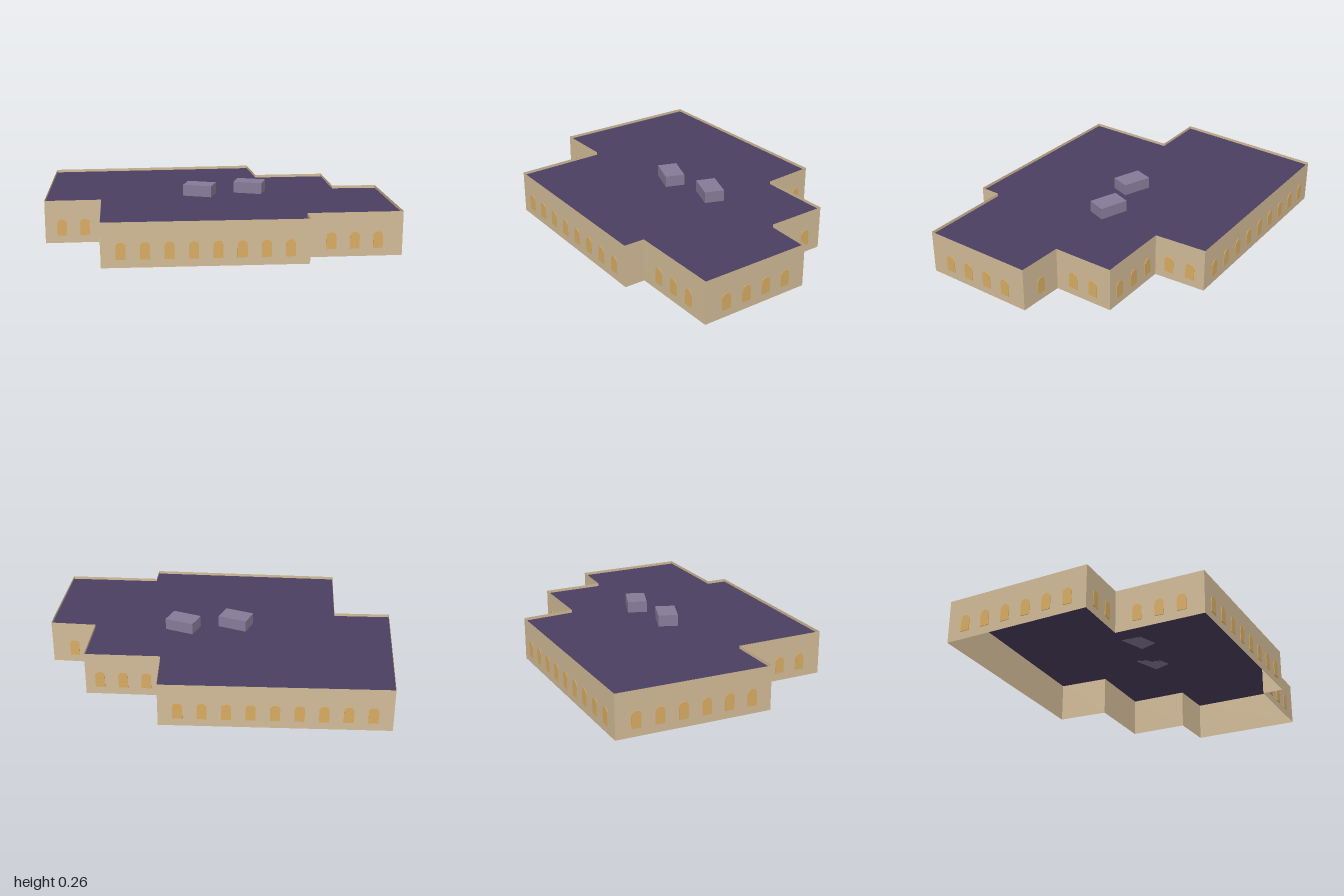
import * as THREE from 'three';

const WALL_H = 0.22, ROOF_Y = 0.205;

// Footprint corners [x, z], clockwise seen from above
const FOOTPRINT = [
  [-1, -0.335], [0.025, -0.73], [0.13, -0.485], [0.48, -0.613], [0.585, -0.322], [0.805, -0.392],
  [0.997, 0.147], [0.555, 0.305], [0.59, 0.405], [-0.34, 0.725], [-0.495, 0.295], [-0.76, 0.395],
];

function material(name, color, extra = {}) {
  return new THREE.MeshStandardMaterial({ name, color, ...extra });
}

// Thin round-arched window plate standing on its sill
function windowGeometry() {
  const r = 0.0235, spring = 0.1, sill = 0.04;
  const s = new THREE.Shape();
  s.moveTo(-r, sill);
  s.lineTo(r, sill);
  s.lineTo(r, spring);
  s.absarc(0, spring, r, 0, Math.PI, false);
  s.closePath();
  return new THREE.ExtrudeGeometry(s, { depth: 0.003, bevelEnabled: false, curveSegments: 5 });
}

export function createModel() {
  const model = new THREE.Group();
  model.name = 'building';
  const wallMat = material('sandstone', 0xd2bb97, { side: THREE.DoubleSide });
  const roofMat = material('darkPurpleRoof', 0x4a3f60, { side: THREE.DoubleSide });
  const glassMat = material('amberWindow', 0xd8ac62);
  const ventMat = material('greyPurpleVent', 0x857b98);

  // Walls, each with a centred row of evenly spaced windows
  const pane = windowGeometry();
  const spacing = 0.114, margin = 0.025;
  FOOTPRINT.forEach(([x0, z0], i) => {
    const [x1, z1] = FOOTPRINT[(i + 1) % FOOTPRINT.length];
    const dx = x1 - x0, dz = z1 - z0, length = Math.hypot(dx, dz);
    const side = new THREE.Group();
    side.name = `side${i + 1}`;
    side.position.set((x0 + x1) / 2, 0, (z0 + z1) / 2);
    side.rotation.y = Math.atan2(dz, -dx);

    const wall = new THREE.Mesh(new THREE.PlaneGeometry(length, WALL_H).translate(0, WALL_H / 2, 0), wallMat);
    wall.name = 'wall';
    side.add(wall);

    const count = Math.floor((length - margin) / spacing);
    for (let k = 0; k < count; k++) {
      const win = new THREE.Mesh(pane, glassMat);
      win.name = 'window';
      win.position.set((k - (count - 1) / 2) * spacing, 0, 0.001);
      side.add(win);
    }
    model.add(side);
  });

  // Flat roof just below the wall tops
  const outline = new THREE.Shape(FOOTPRINT.map(([x, z]) => new THREE.Vector2(x, -z)));
  const roof = new THREE.Mesh(new THREE.ShapeGeometry(outline).rotateX(-Math.PI / 2), roofMat);
  roof.name = 'roof';
  roof.position.y = ROOF_Y;
  model.add(roof);

  // Rooftop vent boxes
  const ventH = 0.263 - ROOF_Y;
  for (const [x, z] of [[-0.063, -0.006], [0.172, -0.142]]) {
    const vent = new THREE.Mesh(new THREE.BoxGeometry(0.15, ventH, 0.1), ventMat);
    vent.name = 'roofVent';
    vent.position.set(x, ROOF_Y + ventH / 2, z);
    model.add(vent);
  }
  return model;
}
